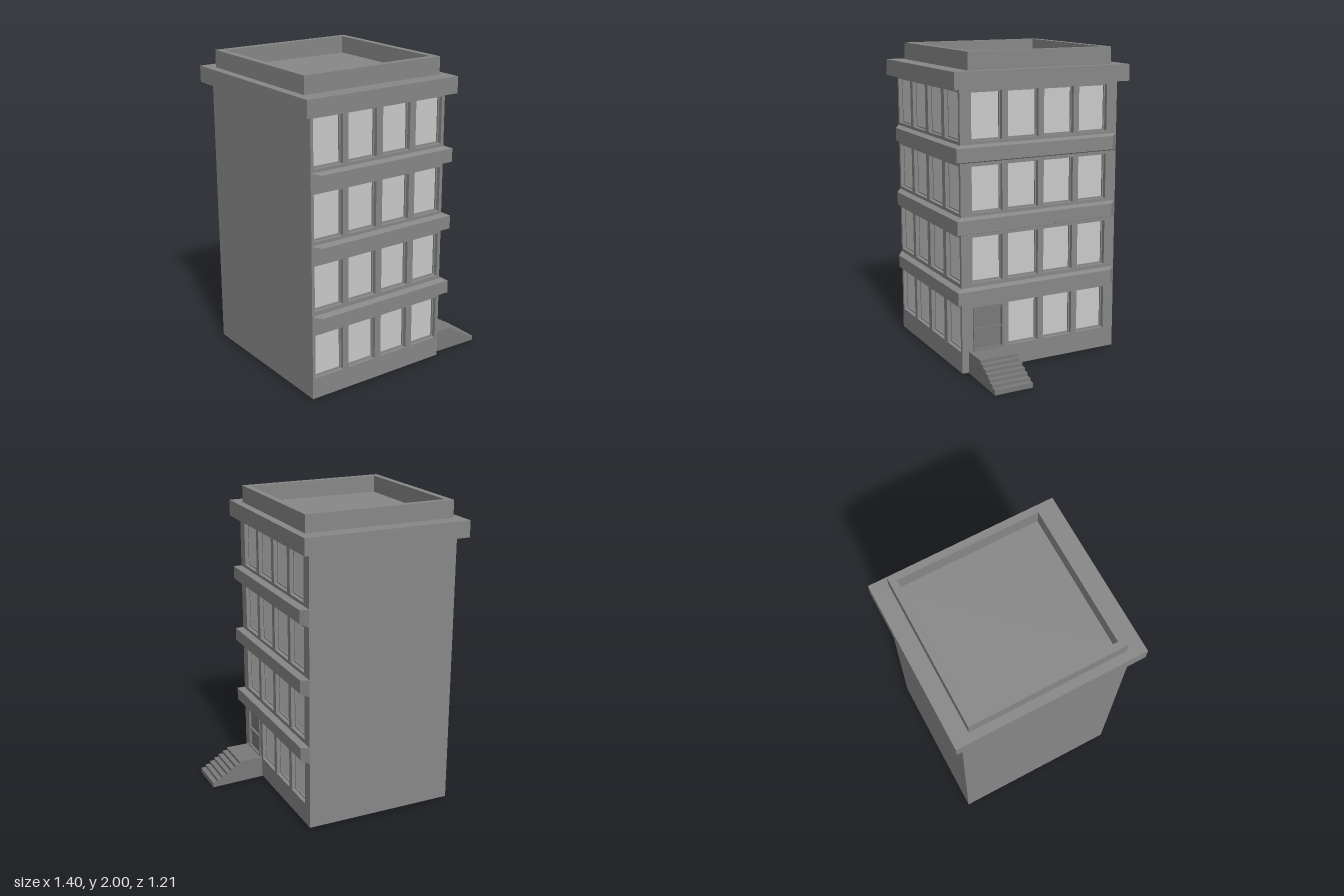
import * as THREE from 'three';

const wallMat = new THREE.MeshStandardMaterial({ color: 0x888888, flatShading: true });
const stairMat = new THREE.MeshStandardMaterial({ color: 0x7a7a7a, flatShading: true });
const paneMat = new THREE.MeshStandardMaterial({ color: 0xcccccc, flatShading: true });

const X0 = -0.65, X1 = 0.34, Z = 0.55, BASE = 0.015, TOP = 1.785, RECESS = 0.04;
const rows = [[0.15, 0.435], [0.59, 0.88], [1.03, 1.32], [1.47, 1.765]];

function add(parent, name, geometry, material = wallMat) {
  const mesh = new THREE.Mesh(geometry, material);
  mesh.name = name;
  parent.add(mesh);
  return mesh;
}

// Box given by its lower and upper limits
function block(parent, name, [x0, x1], [y0, y1], [z0, z1], material) {
  const mesh = add(parent, name, new THREE.BoxGeometry(x1 - x0, y1 - y0, z1 - z0), material);
  mesh.position.set((x0 + x1) / 2, (y0 + y1) / 2, (z0 + z1) / 2);
  return mesh;
}

function rect(Type, x0, x1, y0, y1) {
  return new Type([[x0, y0], [x1, y0], [x1, y1], [x0, y1]].map(p => new THREE.Vector2(...p)));
}

const extrude = (shape, depth) => new THREE.ExtrudeGeometry(shape, { depth, bevelEnabled: false });

// Rectangular ring, its back at z = 0
function ring(x0, x1, y0, y1, t, depth) {
  const shape = rect(THREE.Shape, x0, x1, y0, y1);
  shape.holes.push(rect(THREE.Path, x0 + t, x1 - t, y0 + t, y1 - t));
  return extrude(shape, depth);
}

// Pierced wall facing +z with its outer plane at z = 0
function facade(name, u0, u1, columns, hasDoor) {
  const group = new THREE.Group();
  group.name = name;
  const shape = rect(THREE.Shape, u0, u1, BASE, TOP);
  rows.forEach(([y0, y1], r) => columns.forEach(([a, b], c) => {
    shape.holes.push(rect(THREE.Path, a, b, y0, y1));
    if (hasDoor && r === 0 && c === 0) {
      door(group, a, b, y0, y1);
      return;
    }
    add(group, 'windowFrame', ring(a, b, y0, y1, 0.008, 0.015)).position.z = -RECESS;
    block(group, 'windowPane', [a + 0.008, b - 0.008], [y0 + 0.008, y1 - 0.008],
      [-RECESS - 0.005, -RECESS + 0.005], paneMat);
  }));
  add(group, 'wall', extrude(shape, RECESS)).position.z = -RECESS;
  return group;
}

// Door leaf with a projecting frame and two panels
function door(parent, a, b, y0, y1) {
  const group = new THREE.Group();
  group.name = 'door';
  block(group, 'doorLeaf', [a, b], [y0, y1], [-RECESS, -0.01], stairMat);
  add(group, 'doorFrame', ring(a, b, y0, y1, 0.01, 0.02), stairMat).position.z = -0.012;
  const mid = 0.29;
  block(group, 'doorRail', [a + 0.01, b - 0.01], [mid - 0.006, mid + 0.006], [-0.012, 0.004], stairMat);
  parent.add(group);
}

// Ledge with sloping edges that wraps the front and right walls
function ledge(y0, y1) {
  const inner = [[X0, Z], [X1, Z], [X1, -Z]];
  const outer = [[-0.6, 0.59], [0.38, 0.59], [0.38, -0.5]];
  const slope = 0.012;
  const positions = [], index = [];
  inner.forEach(([ix, iz], k) => {
    const [ox, oz] = outer[k];
    positions.push(ix, y1, iz, ox, y1 - slope, oz, ox, y0 + slope, oz, ix, y0, iz);
  });
  const quad = (a, b, c, d) => index.push(a, b, c, a, c, d);
  for (let s = 0; s < 2; s++) {
    for (let j = 0; j < 3; j++) {
      const a = s * 4 + j;
      quad(a, a + 1, a + 5, a + 4);
    }
  }
  quad(0, 3, 2, 1);
  quad(8, 9, 10, 11);
  const geometry = new THREE.BufferGeometry();
  geometry.setAttribute('position', new THREE.Float32BufferAttribute(positions, 3));
  geometry.setIndex(index);
  const flat = geometry.toNonIndexed();
  flat.computeVertexNormals();
  return flat;
}

// Landing and six steps going down towards +x
function stairs() {
  const shape = new THREE.Shape();
  const start = 0.505, run = 0.0325, drop = 0.02;
  shape.moveTo(X1 - 0.01, 0.01);
  shape.lineTo(0.7, 0);
  for (let i = 5; i >= 0; i--) {
    const top = 0.15 - drop * (i + 1) + 0.003;
    shape.lineTo(start + run * (i + 1), top);
    shape.lineTo(start + run * i, top);
  }
  shape.lineTo(start, 0.152);
  shape.lineTo(X1 - 0.01, 0.152);
  return extrude(shape, 0.255);
}

export function createModel() {
  const model = new THREE.Group();
  model.name = 'apartmentBuilding';

  // Plain core: back, left side and underside
  block(model, 'core', [X0, X1 - RECESS], [BASE, TOP], [-Z, Z - RECESS]);

  // Windowed front and right walls
  const front = facade('frontWall', X0, X1,
    [[-0.63, -0.425], [-0.385, -0.18], [-0.135, 0.07], [0.115, 0.318]], false);
  front.position.z = Z;
  const right = facade('rightWall', -Z + RECESS, Z,
    [[-0.475, -0.27], [-0.23, -0.02], [0.02, 0.23], [0.27, 0.475]], true);
  right.rotation.y = Math.PI / 2;
  right.position.x = X1;
  model.add(front, right);

  // Ledges between the storeys
  for (const [y0, y1] of [[0.458, 0.565], [0.9, 1.01], [1.34, 1.45]]) {
    add(model, 'ledge', ledge(y0, y1));
  }

  // Cornice and roof parapet
  block(model, 'cornice', [-0.705, 0.392], [TOP, 1.89], [-0.607, 0.605]);
  const parapet = add(model, 'parapet', ring(X0, X1, -0.495, 0.5, 0.043, 0.11));
  parapet.rotation.x = -Math.PI / 2;
  parapet.position.y = 1.89;

  // Entrance stairs
  add(model, 'entranceStairs', stairs(), stairMat).position.z = 0.25;

  return model;
}
